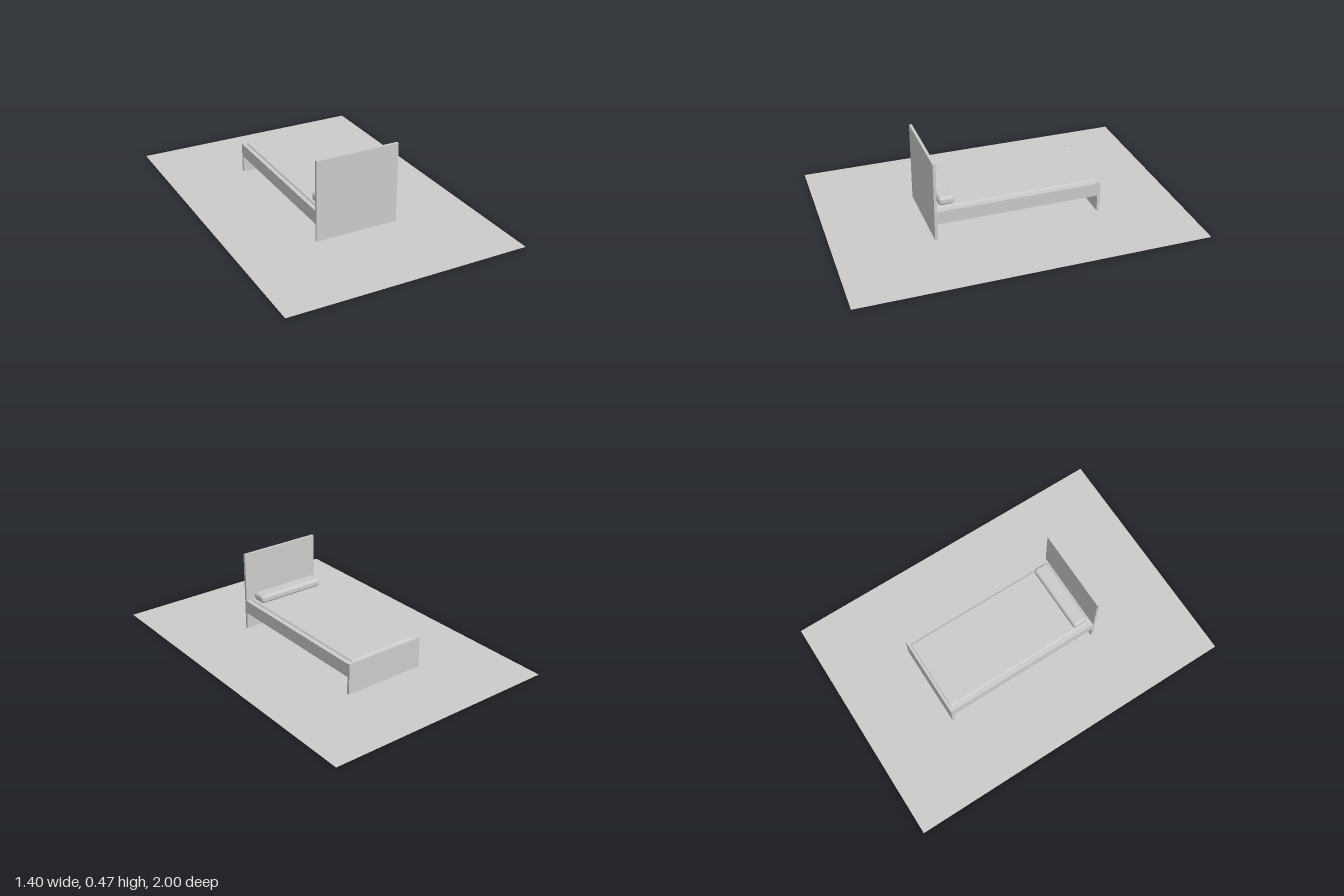
import * as THREE from 'three';
import { RoundedBoxGeometry } from 'three/addons/geometries/RoundedBoxGeometry.js';

export function createModel() {
  const bed = new THREE.Group();
  bed.name = 'bed';
  const grey = new THREE.MeshStandardMaterial({ color: 0xcccccc });

  // Adds a box from its min and max corners, rounded when a radius is given.
  const addBox = (name, [x0, y0, z0], [x1, y1, z1], radius = 0) => {
    const size = [x1 - x0, y1 - y0, z1 - z0];
    const geometry = radius
      ? new RoundedBoxGeometry(...size, 4, radius)
      : new THREE.BoxGeometry(...size);
    const mesh = new THREE.Mesh(geometry, grey);
    mesh.name = name;
    mesh.position.set((x0 + x1) / 2, (y0 + y1) / 2, (z0 + z1) / 2);
    bed.add(mesh);
  };

  const halfWidth = 0.246;

  // Upright end panels reaching the floor
  addBox('headboard', [-halfWidth, 0, 0.426], [halfWidth, 0.472, 0.442]);
  addBox('footboard', [-halfWidth, 0, -0.531], [halfWidth, 0.18, -0.515]);

  // Base carried between the panels
  addBox('bedFrame', [-halfWidth, 0.1, -0.515], [halfWidth, 0.178, 0.426]);

  // Mattress set into the base, standing slightly proud of it
  addBox('mattress', [-0.222, 0.11, -0.518], [0.218, 0.187, 0.424], 0.012);

  // Pillow at the headboard end
  addBox('pillow', [-0.213, 0.186, 0.315], [0.208, 0.235, 0.405], 0.018);

  // Thin floor sheet
  const floor = new THREE.Mesh(
    new THREE.PlaneGeometry(1.405, 2),
    new THREE.MeshStandardMaterial({ color: 0xcccccc, side: THREE.DoubleSide })
  );
  floor.name = 'floor';
  floor.rotation.x = -Math.PI / 2;
  bed.add(floor);

  return bed;
}
